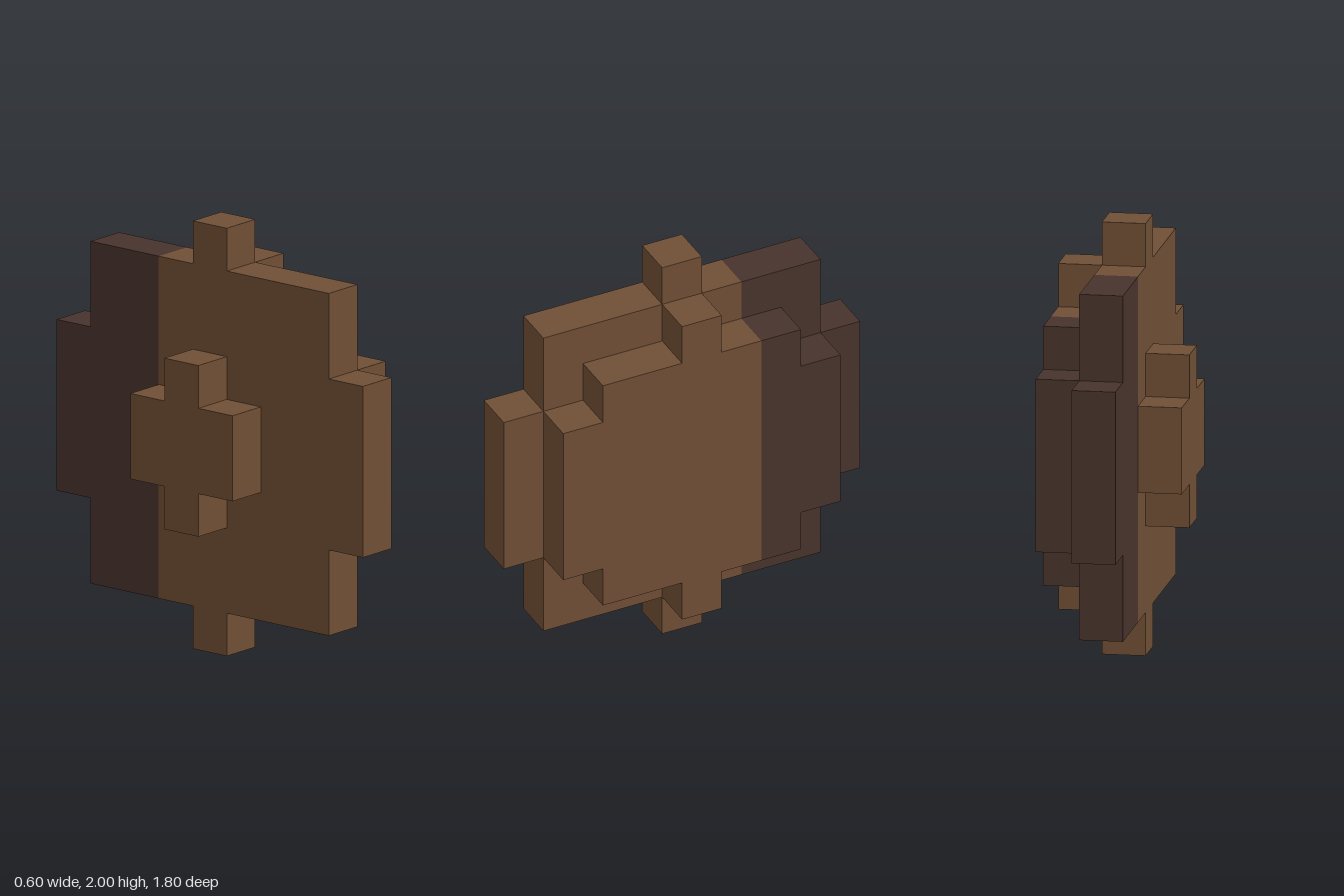
import * as THREE from 'three';

const LAYER = 0.2;    // thickness of one layer along x
const SPLIT = -0.3;   // z where the brown body meets the dark back
const MID_Y = 1;

// Each layer is a stepped disc: [half width in z, half height in y], from the centre outward
const layers = [
  { name: 'smallBoss', x: -0.3, steps: [[0.1, 0.4], [0.3, 0.2]] },
  { name: 'mainDisc', x: -0.1, steps: [[0.1, 1], [0.7, 0.8], [0.9, 0.4]] },
  { name: 'frontDisc', x: 0.1, steps: [[0.1, 0.8], [0.5, 0.6], [0.7, 0.4]] },
];

// Stepped columns [z0, z1, half height] of a disc, clipped to a z range
function columns(steps, zMin, zMax) {
  const out = [];
  steps.forEach(([w, h], i) => {
    if (i === 0) out.push([-w, w, h]);
    else {
      const inner = steps[i - 1][0];
      out.unshift([-w, -inner, h]);
      out.push([inner, w, h]);
    }
  });
  return out
    .map(([a, b, h]) => [Math.max(a, zMin), Math.min(b, zMax), h])
    .filter(([a, b]) => b - a > 1e-6);
}

// Extrude the stepped outline into a slab lying across x
function slab(cols, x) {
  const top = cols.flatMap(([a, b, h]) => [[a, h], [b, h]]);
  const outline = [...top, ...top.slice().reverse().map(([z, h]) => [z, -h])];
  const shape = new THREE.Shape(outline.map(([z, h]) => new THREE.Vector2(z, MID_Y + h)));
  const geometry = new THREE.ExtrudeGeometry(shape, { depth: LAYER, bevelEnabled: false });
  return geometry.rotateY(-Math.PI / 2).translate(x + LAYER, 0, 0);
}

export function createModel() {
  const brown = new THREE.MeshStandardMaterial({ name: 'brown', color: 0x6f4e35 });
  const darkBrown = new THREE.MeshStandardMaterial({ name: 'darkBrown', color: 0x48332c });
  const model = new THREE.Group();
  model.name = 'steppedDisc';

  for (const { name, x, steps } of layers) {
    const layer = new THREE.Group();
    layer.name = name;
    const parts = [
      ['Body', columns(steps, SPLIT, Infinity), brown],
      ['DarkBack', columns(steps, -Infinity, SPLIT), darkBrown],
    ];
    for (const [suffix, cols, material] of parts) {
      if (!cols.length) continue;
      const mesh = new THREE.Mesh(slab(cols, x), material);
      mesh.name = name + suffix;
      layer.add(mesh);
    }
    model.add(layer);
  }
  return model;
}
